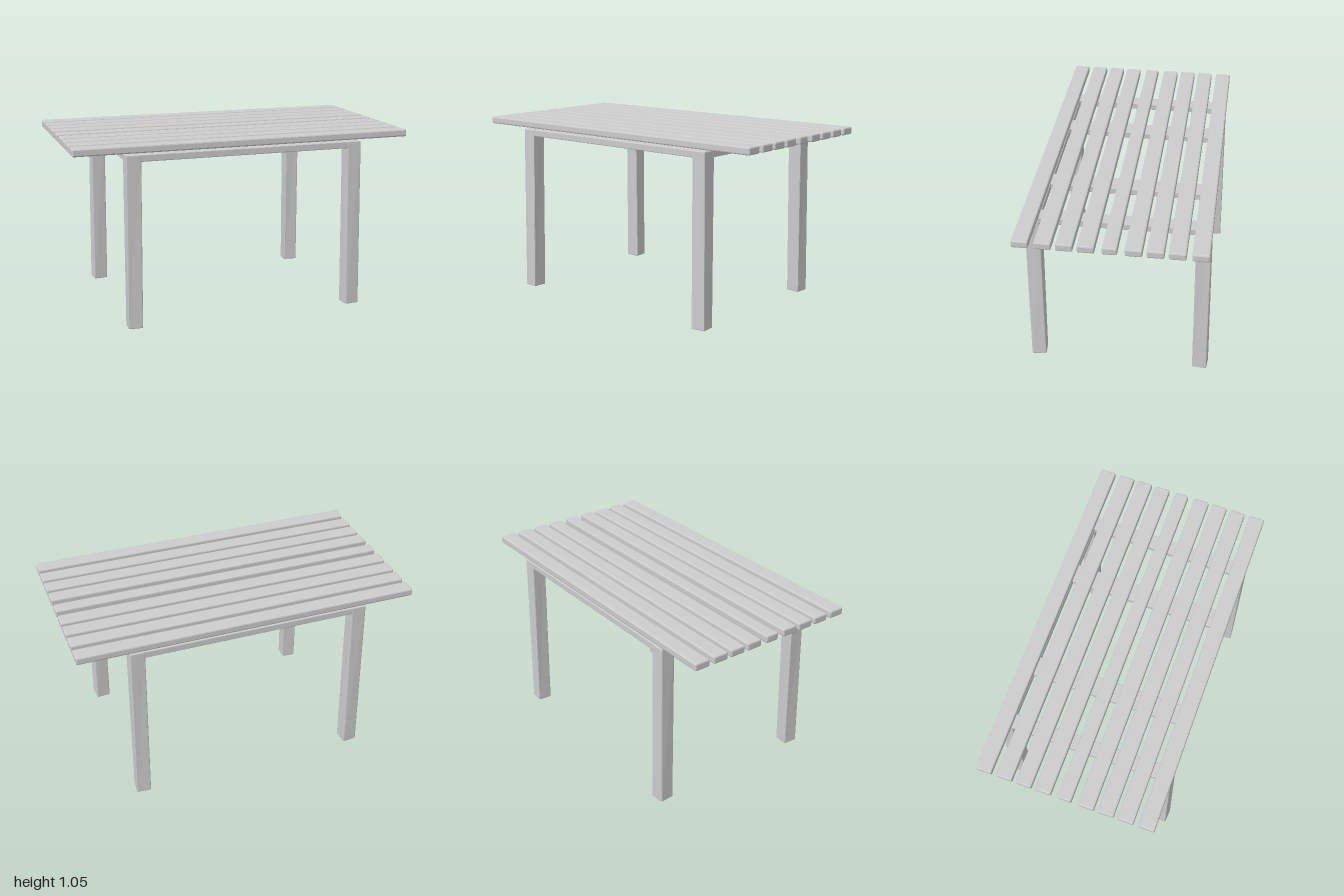
import * as THREE from 'three';
import { RoundedBoxGeometry } from 'three/addons/geometries/RoundedBoxGeometry.js';

export function createModel() {
  const table = new THREE.Group();
  table.name = 'slattedTable';
  const grey = new THREE.MeshStandardMaterial({ color: 0xcccccc });
  grey.name = 'plain grey';

  // Box with softened edges, given by its limits on each axis
  function beam(name, [x0, x1], [y0, y1], [z0, z1], bevel, shape) {
    const geometry = new RoundedBoxGeometry(x1 - x0, y1 - y0, z1 - z0, 1, bevel);
    geometry.translate((x0 + x1) / 2, (y0 + y1) / 2, (z0 + z1) / 2);
    if (shape) shape(geometry.attributes.position);
    geometry.computeVertexNormals();
    const mesh = new THREE.Mesh(geometry, grey);
    mesh.name = name;
    table.add(mesh);
  }

  // Table top: nine slats, the middle one narrower
  for (let i = -4; i <= 4; i++) {
    const z = [0, 0.125, 0.239, 0.353, 0.474][Math.abs(i)] * Math.sign(i);
    const half = i === 0 ? 0.04 : 0.046;
    beam('slat', [-1, 1], [1.01, 1.053], [z - half, z + half], 0.008);
  }

  // Legs: splayed outward and turned slightly towards the foot
  for (const sx of [-1, 1]) {
    for (const sz of [-1, 1]) {
      const cx = sx * 0.6625, cz = sz * 0.471;
      beam('leg', [cx - 0.0425, cx + 0.0425], [0, 1], [cz - 0.0425, cz + 0.0425], 0.005, (p) => {
        for (let i = 0; i < p.count; i++) {
          const t = 1 - p.getY(i);
          const angle = 0.08 * t * sx * sz;
          const dx = p.getX(i) - cx, dz = p.getZ(i) - cz;
          p.setX(i, cx + sx * 0.009 * t + dx * Math.cos(angle) + dz * Math.sin(angle));
          p.setZ(i, cz + sz * 0.012 * t - dx * Math.sin(angle) + dz * Math.cos(angle));
        }
      });
    }
  }

  // Frame rails between the legs, and two cross bars under the slats
  for (const s of [-1, 1]) {
    const span = (a, b) => [Math.min(s * a, s * b), Math.max(s * a, s * b)];
    beam('longRail', [-0.63, 0.63], [0.96, 0.999], span(0.43, 0.512), 0.004);
    beam('endRail', span(0.621, 0.704), [0.96, 0.999], [-0.44, 0.44], 0.004);
    beam('crossBar', span(0.256, 0.368), [0.961, 0.998], [-0.44, 0.44], 0.004);
  }

  return table;
}
